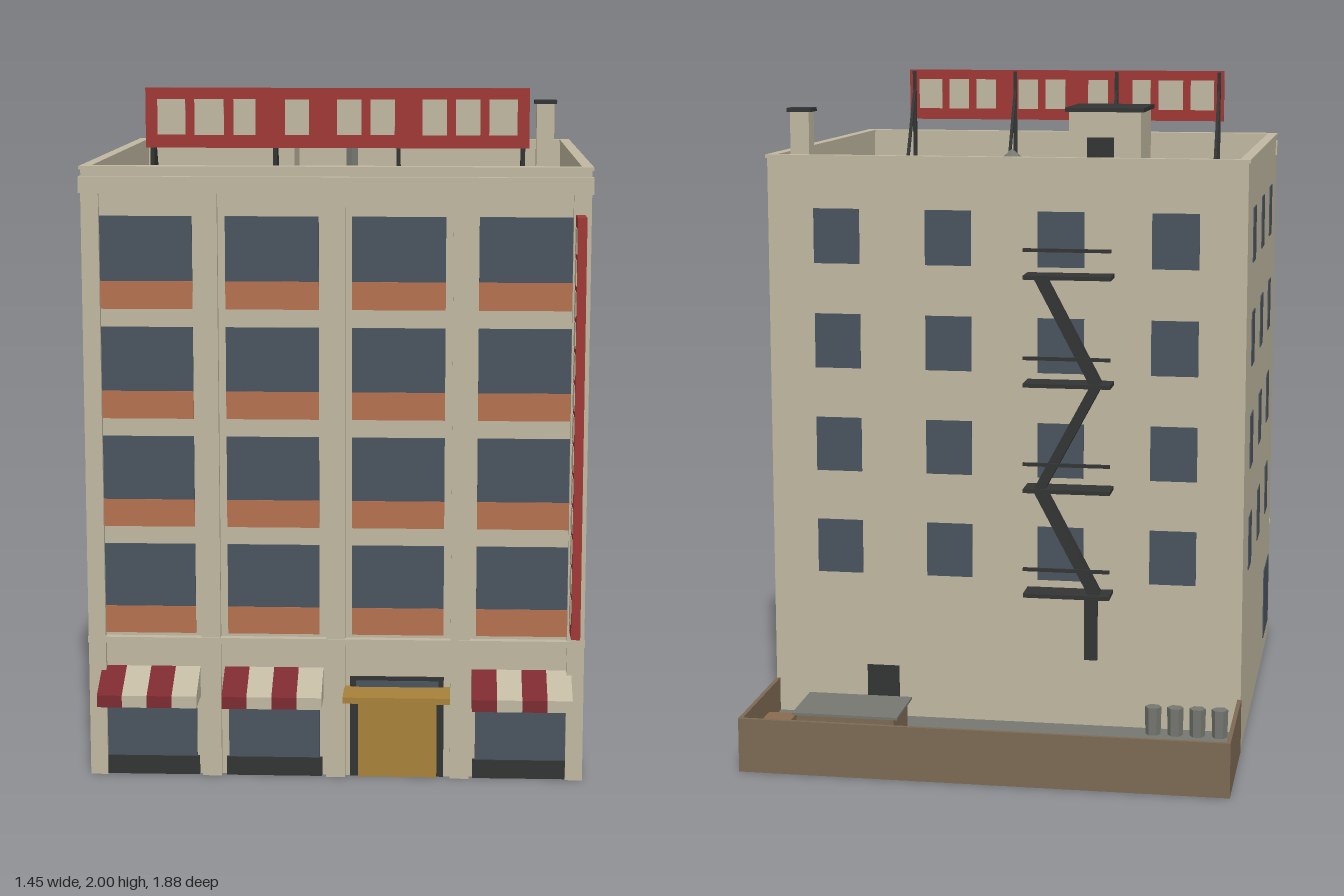
import * as THREE from 'three';

const material = (name, color) => {
  const m = new THREE.MeshStandardMaterial({ color });
  m.name = name;
  return m;
};

export function createModel() {
  const stone = material('stone', 0xc0b8a1);
  const glass = material('glass', 0x4a545f);
  const terracotta = material('terracotta', 0xb57150);
  const red = material('signRed', 0xa03835);
  const maroon = material('awningMaroon', 0x7c2b30);
  const gold = material('gold', 0xa8813a);
  const iron = material('iron', 0x333434);
  const roofing = material('roofing', 0x757770);
  const brick = material('yardBrick', 0x7d6a54);
  const wood = material('crateWood', 0x8b6b50);

  const root = new THREE.Group();
  root.name = 'cornerBuilding';
  const add = (name, geometry, mat) => {
    const mesh = new THREE.Mesh(geometry, mat);
    mesh.name = name;
    root.add(mesh);
    return mesh;
  };
  // Box given by its limits on each axis
  const box = (name, mat, x0, x1, y0, y1, z0, z1) => {
    const mesh = add(name, new THREE.BoxGeometry(x1 - x0, y1 - y0, z1 - z0), mat);
    mesh.position.set((x0 + x1) / 2, (y0 + y1) / 2, (z0 + z1) / 2);
    return mesh;
  };
  // Straight bar between two points, w along x and d along z when upright
  const beam = (name, mat, a, b, w, d) => {
    const from = new THREE.Vector3(...a), to = new THREE.Vector3(...b);
    const dir = to.clone().sub(from);
    const mesh = add(name, new THREE.BoxGeometry(w, dir.length(), d), mat);
    mesh.position.copy(from).add(to).multiplyScalar(0.5);
    mesh.quaternion.setFromUnitVectors(new THREE.Vector3(0, 1, 0), dir.normalize());
    return mesh;
  };

  // Main block, roof and parapet
  const roofY = 1.675;
  box('mainBlock', stone, -0.72, 0.72, 0, 1.67, -0.52, 0.82);
  box('roofDeck', roofing, -0.7, 0.7, 1.67, roofY, -0.5, 0.8);
  for (const s of [-1, 1]) {
    box('sideParapet', stone, s * 0.7075 - 0.0125, s * 0.7075 + 0.0125, 1.67, 1.775, -0.52, 0.82);
    box('sideCoping', stone, s * 0.709 - 0.016, s * 0.709 + 0.016, 1.775, 1.785, -0.525, 0.835);
  }
  box('backParapet', stone, -0.695, 0.695, 1.67, 1.775, -0.52, -0.498);
  box('backCoping', stone, -0.693, 0.693, 1.775, 1.785, -0.525, -0.495);
  box('frontParapet', stone, -0.72, 0.72, 1.67, 1.775, 0.79, 0.83);
  box('frontCoping', stone, -0.693, 0.693, 1.775, 1.785, 0.787, 0.835);
  box('cornice', stone, -0.725, 0.725, 1.71, 1.757, 0.81, 0.852);

  // Front pilasters and band above the shops
  for (const x of [-0.695, -0.362, 0, 0.362, 0.695]) {
    const w = Math.abs(x) > 0.6 ? 0.025 : 0.028;
    box('pilaster', stone, x - w, x + w, 0, 1.71, 0.815, 0.84);
  }
  box('shopBand', stone, -0.722, 0.722, 0.4, 0.418, 0.815, 0.843);

  // Upper floors: front bays, side windows and back windows
  const bays = [-0.54, -0.18, 0.18, 0.54];
  for (let floor = 0; floor < 4; floor++) {
    const y = 0.508 + floor * 0.317;
    for (const x of bays) {
      box('frontWindow', glass, x - 0.133, x + 0.133, y, y + 0.185, 0.817, 0.825);
      box('spandrel', terracotta, x - 0.133, x + 0.133, y - 0.08, y, 0.818, 0.827);
    }
    for (const s of [-1, 1]) for (const z of [0.545, 0.153, -0.242]) {
      box('sideWindow', glass, s * 0.72 - 0.003, s * 0.72 + 0.003, y + 0.002, y + 0.167, z - 0.056, z + 0.056);
    }
    for (const x of [-0.51, -0.17, 0.17, 0.51]) {
      box('backWindow', glass, x - 0.07, x + 0.07, y + 0.002, y + 0.167, -0.523, -0.517);
    }
  }
  for (const s of [-1, 1]) {
    box('sideShopWindow', glass, s * 0.72 - 0.003, s * 0.72 + 0.003, 0.065, 0.303, 0.517, 0.77);
  }
  box('backDoor', iron, 0.33, 0.43, 0, 0.22, -0.523, -0.517);

  // Shopfronts with striped awnings
  const profile = new THREE.Shape([[0.82, 0.235], [0.94, 0.235], [0.94, 0.27], [0.82, 0.326]]
    .map(p => new THREE.Vector2(...p)));
  const stripe = 0.288 / 4;
  const stripeGeometry = new THREE.ExtrudeGeometry(profile, { depth: stripe, bevelEnabled: false });
  stripeGeometry.rotateY(-Math.PI / 2);
  for (const x of [-0.54, -0.18, 0.54]) {
    box('shopWindow', glass, x - 0.133, x + 0.133, 0.055, 0.3, 0.818, 0.827);
    box('shopPlinth', iron, x - 0.14, x + 0.14, 0, 0.055, 0.815, 0.832);
    for (let i = 0; i < 4; i++) {
      add('awningStripe', stripeGeometry, i % 2 ? stone : maroon).position.x = x - 0.144 + (i + 1) * stripe;
    }
  }

  // Main entrance
  box('entranceSurround', iron, 0.042, 0.315, 0, 0.302, 0.815, 0.825);
  box('entranceDoor', gold, 0.065, 0.295, 0, 0.235, 0.822, 0.831);
  box('transomWindow', glass, 0.06, 0.3, 0.24, 0.29, 0.822, 0.829);
  box('entranceCanopy', gold, 0.025, 0.333, 0.254, 0.272, 0.82, 0.937);

  // Vertical sign on the corner
  box('verticalSign', red, 0.676, 0.702, 0.45, 1.653, 0.84, 0.937);
  for (let i = 0; i < 13; i++) {
    const y = 0.527 + i * 0.0882;
    box('verticalSignPanel', stone, 0.674, 0.704, y - 0.035, y + 0.035, 0.854, 0.925);
  }

  // Rooftop billboard on braced posts
  box('billboard', red, -0.547, 0.547, 1.83, 2, 0.705, 0.717);
  const panels = [[-0.473, 0.08], [-0.365, 0.084], [-0.264, 0.063], [-0.114, 0.069], [0.035, 0.069],
    [0.13, 0.069], [0.278, 0.069], [0.373, 0.069], [0.473, 0.08]];
  for (const [x, w] of panels) {
    box('billboardPanel', stone, x - w / 2, x + w / 2, 1.867, 1.968, 0.703, 0.719);
  }
  for (const x of [-0.53, -0.178, 0.175, 0.53]) {
    box('billboardPost', iron, x - 0.006, x + 0.006, roofY, 1.995, 0.697, 0.709);
    beam('billboardBrace', iron, [x, roofY, 0.565], [x, 1.93, 0.7], 0.01, 0.008);
  }

  // Stair house, chimney and roof vent
  box('stairHouse', stone, -0.395, -0.18, roofY, 1.915, -0.435, -0.175);
  box('stairHouseRoof', iron, -0.405, -0.17, 1.915, 1.927, -0.447, -0.165);
  box('stairHouseDoor', iron, -0.315, -0.235, roofY, 1.84, -0.438, -0.432);
  box('chimney', stone, 0.611, 0.669, roofY, 1.908, -0.44, -0.38);
  box('chimneyCap', iron, 0.603, 0.677, 1.908, 1.92, -0.447, -0.373);
  const vent = add('ventPipe', new THREE.CylinderGeometry(0.022, 0.022, 0.1, 6).toNonIndexed(), roofing);
  vent.geometry.computeVertexNormals();
  vent.position.set(0, roofY + 0.05, -0.38);
  const cap = add('ventCap', new THREE.ConeGeometry(0.037, 0.03, 6).toNonIndexed(), roofing);
  cap.geometry.computeVertexNormals();
  cap.position.set(0, 1.786, -0.38);

  // Fire escape: landings, rails, zigzag flights and a drop ladder
  const landings = [0.482, 0.802, 1.12, 1.44];
  landings.forEach((y, i) => {
    box('landing', iron, -0.33, -0.07, y - 0.006, y + 0.006, -0.61, -0.52);
    box('landingRail', iron, -0.33, -0.07, y + 0.076, y + 0.086, -0.611, -0.602);
    if (i < 3) {
      const side = i % 2 ? 1 : -1;
      beam('stairFlight', iron, [-0.2 + side * 0.085, y, -0.57], [-0.2 - side * 0.085, landings[i + 1], -0.57], 0.03, 0.055);
    }
  });
  box('dropLadder', iron, -0.29, -0.25, 0.28, 0.48, -0.572, -0.56);

  // Back yard with walls
  const yardY = 0.06;
  box('yardFloor', roofing, -0.715, 0.715, 0, yardY, -0.935, -0.52);
  box('yardBackWall', brick, -0.722, 0.722, 0.001, 0.163, -0.94, -0.928);
  for (const s of [-1, 1]) {
    box('yardSideWall', brick, s * 0.716 - 0.006, s * 0.716 + 0.006, 0.001, 0.163, -0.928, -0.52);
  }

  // Shed, crate and bins in the yard
  box('shed', brick, 0.26, 0.55, yardY, 0.178, -0.92, -0.73);
  box('shedRoof', roofing, 0.248, 0.562, 0.178, 0.185, -0.927, -0.72);
  box('crate', wood, 0.58, 0.665, yardY, 0.145, -0.895, -0.808);
  const binGeometry = new THREE.CylinderGeometry(0.025, 0.023, 0.085, 6).toNonIndexed();
  binGeometry.computeVertexNormals();
  binGeometry.rotateY(Math.PI / 6);
  for (let i = 0; i < 4; i++) {
    add('bin', binGeometry, roofing).position.set(-0.662 + i * 0.067, yardY + 0.0425, -0.57);
  }

  return root;
}
